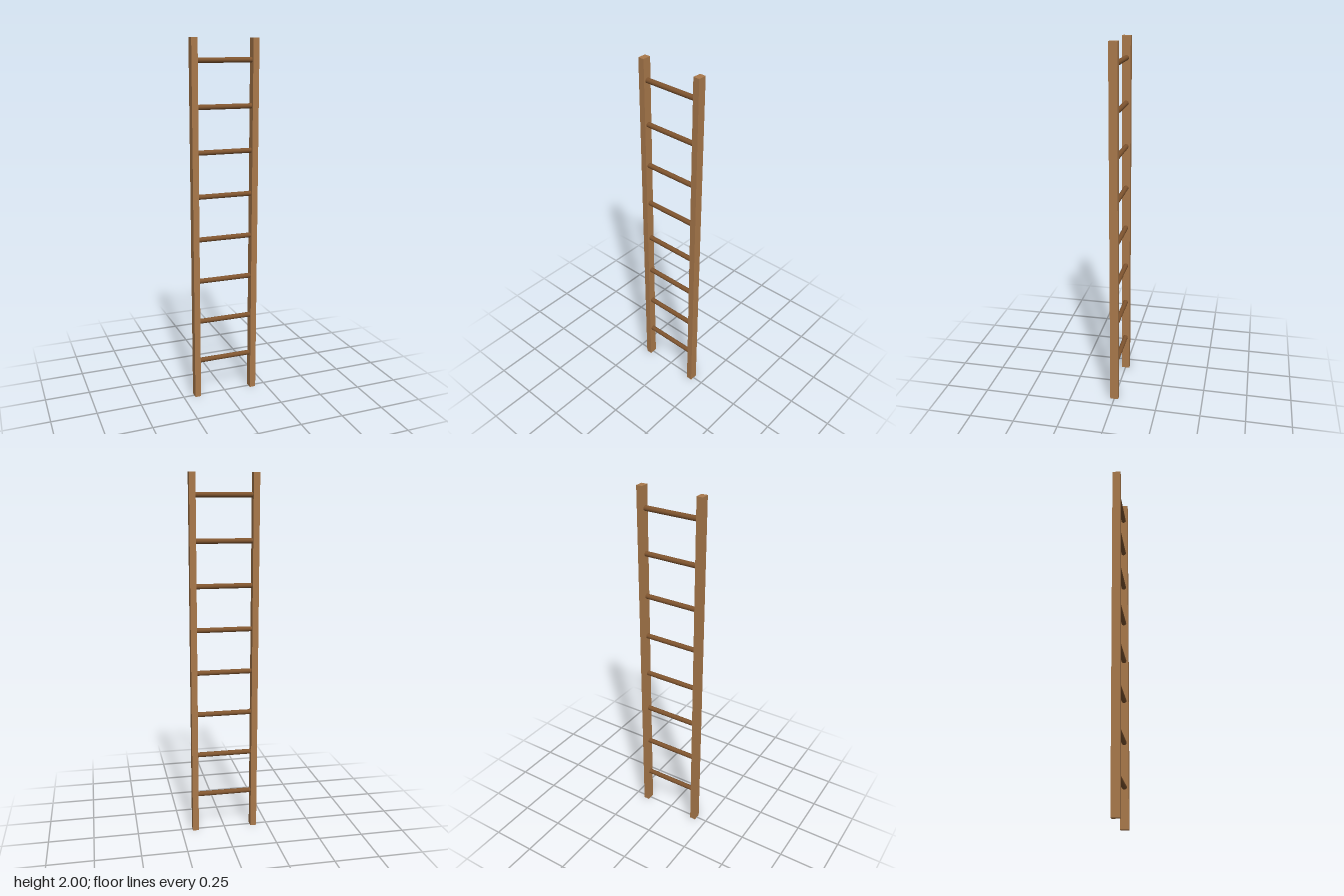
import * as THREE from 'three';

const RAIL_X = 0.17, RAIL_W = 0.034, RAIL_D = 0.046, HEIGHT = 2;
const RUNGS = 8, FIRST_RUNG = 0.216, RUNG_STEP = 0.2386, RUNG_R = 0.0138;

export function createModel() {
  const ladder = new THREE.Group();
  ladder.name = 'ladder';

  const railWood = new THREE.MeshStandardMaterial({ color: 0xa9794b });
  railWood.name = 'light wood';
  const rungWood = new THREE.MeshStandardMaterial({ color: 0x80552f });
  rungWood.name = 'dark wood';

  // Two upright square rails
  const railGeometry = new THREE.BoxGeometry(RAIL_W, HEIGHT, RAIL_D);
  for (const side of [1, -1]) {
    const rail = new THREE.Mesh(railGeometry, railWood);
    rail.name = side > 0 ? 'leftRail' : 'rightRail';
    rail.position.set(side * RAIL_X, HEIGHT / 2, 0);
    ladder.add(rail);
  }

  // Evenly spaced round rungs, let into the rails
  const rungGeometry = new THREE.CylinderGeometry(RUNG_R, RUNG_R, RAIL_X * 2, 16);
  rungGeometry.rotateZ(Math.PI / 2);
  for (let i = 0; i < RUNGS; i++) {
    const rung = new THREE.Mesh(rungGeometry, rungWood);
    rung.name = `rung${i + 1}`;
    rung.position.y = FIRST_RUNG + i * RUNG_STEP;
    ladder.add(rung);
  }

  return ladder;
}
